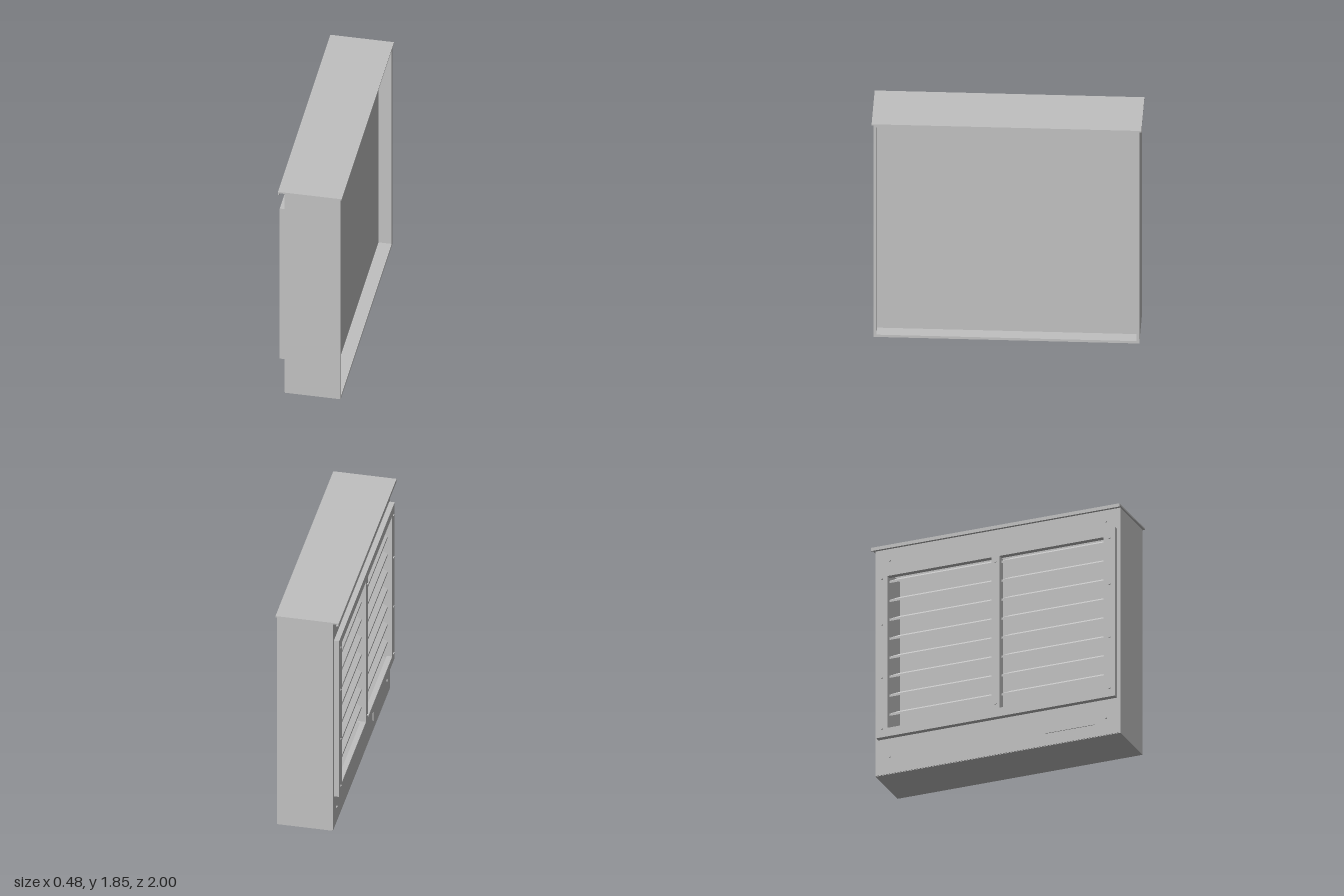
import * as THREE from 'three';

export function createModel() {
  const root = new THREE.Group();
  root.name = 'louvredCabinet';
  const metal = new THREE.MeshStandardMaterial({ color: 0xc0c0c0 });
  metal.name = 'greyMetal';

  // Box from its minimum and maximum corners
  function box(name, x0, x1, y0, y1, z0, z1, parent = root) {
    const m = new THREE.Mesh(new THREE.BoxGeometry(x1 - x0, y1 - y0, z1 - z0), metal);
    m.position.set((x0 + x1) / 2, (y0 + y1) / 2, (z0 + z1) / 2);
    m.name = name;
    parent.add(m);
    return m;
  }

  // Rectangular sheet in the y-z plane with a rectangular hole
  function plateWithHole(name, x0, x1, outer, hole) {
    const corners = ([y0, y1, z]) => [[-z, y0], [z, y0], [z, y1], [-z, y1]].map(p => new THREE.Vector2(...p));
    const shape = new THREE.Shape(corners(outer));
    shape.holes.push(new THREE.Path(corners(hole)));
    const g = new THREE.ExtrudeGeometry(shape, { depth: x1 - x0, bevelEnabled: false });
    g.rotateY(-Math.PI / 2).translate(x1, 0, 0);
    const m = new THREE.Mesh(g, metal);
    m.name = name;
    root.add(m);
  }

  // Casing, open towards +x with a recessed panel
  box('floor', -0.19, 0.23, 0, 0.02, -0.985, 0.985);
  box('ceiling', -0.19, 0.23, 1.82, 1.84, -0.985, 0.985);
  for (const s of [-1, 1]) {
    const a = s * 0.985, b = s * 0.965;
    box('endWall', -0.19, 0.23, 0.02, 1.82, Math.min(a, b), Math.max(a, b));
  }
  box('recessedPanel', 0.12, 0.13, 0.02, 1.82, -0.965, 0.965);

  // Lid with a downturned lip over the louvres
  box('lid', -0.24, 0.24, 1.84, 1.852, -1, 1);
  box('lidLip', -0.24, -0.231, 1.825, 1.84, -1, 1);

  // Louvred face
  plateWithHole('facePanel', -0.194, -0.18, [0.003, 1.837, 0.982], [0.34, 1.62, 0.88]);
  plateWithHole('louvreFrame', -0.235, -0.194, [0.29, 1.67, 0.96], [0.36, 1.6, 0.87]);
  for (const s of [-1, 1]) box('jamb', -0.2, 0, 0.3, 1.65, s * 0.875 - 0.005, s * 0.875 + 0.005);
  box('centrePost', -0.235, -0.17, 0.36, 1.6, -0.033, 0.033);
  box('coverPlate', -0.2, -0.194, 0.1, 0.2, 0.38, 0.78);

  // Sloping slats, two columns
  const section = new THREE.Shape([[-0.2, -0.018], [-0.02, 0.082], [-0.02, 0.1], [-0.2, 0]]
    .map(p => new THREE.Vector2(...p)));
  const slatGeo = new THREE.ExtrudeGeometry(section, { depth: 0.84, bevelEnabled: false });
  for (const z of [-0.87, 0.03]) {
    for (let i = 0; i < 9; i++) {
      const slat = new THREE.Mesh(slatGeo, metal);
      slat.position.set(0, 0.335 + i * 0.155, z);
      slat.name = 'slat';
      root.add(slat);
    }
  }

  // Screws
  const screwGeo = new THREE.CylinderGeometry(0.009, 0.009, 0.008, 12).rotateZ(Math.PI / 2);
  function screw(x, y, z) {
    const m = new THREE.Mesh(screwGeo, metal);
    m.position.set(x, y, z);
    m.name = 'screw';
    root.add(m);
  }
  for (const s of [-1, 1]) {
    for (const y of [0.36, 0.775, 1.21, 1.585]) screw(-0.238, y, s * 0.915);
    for (const y of [0.14, 1.745]) screw(-0.198, y, s * 0.87);
  }
  for (const y of [0.4, 1.56]) screw(-0.238, y, 0);

  return root;
}
